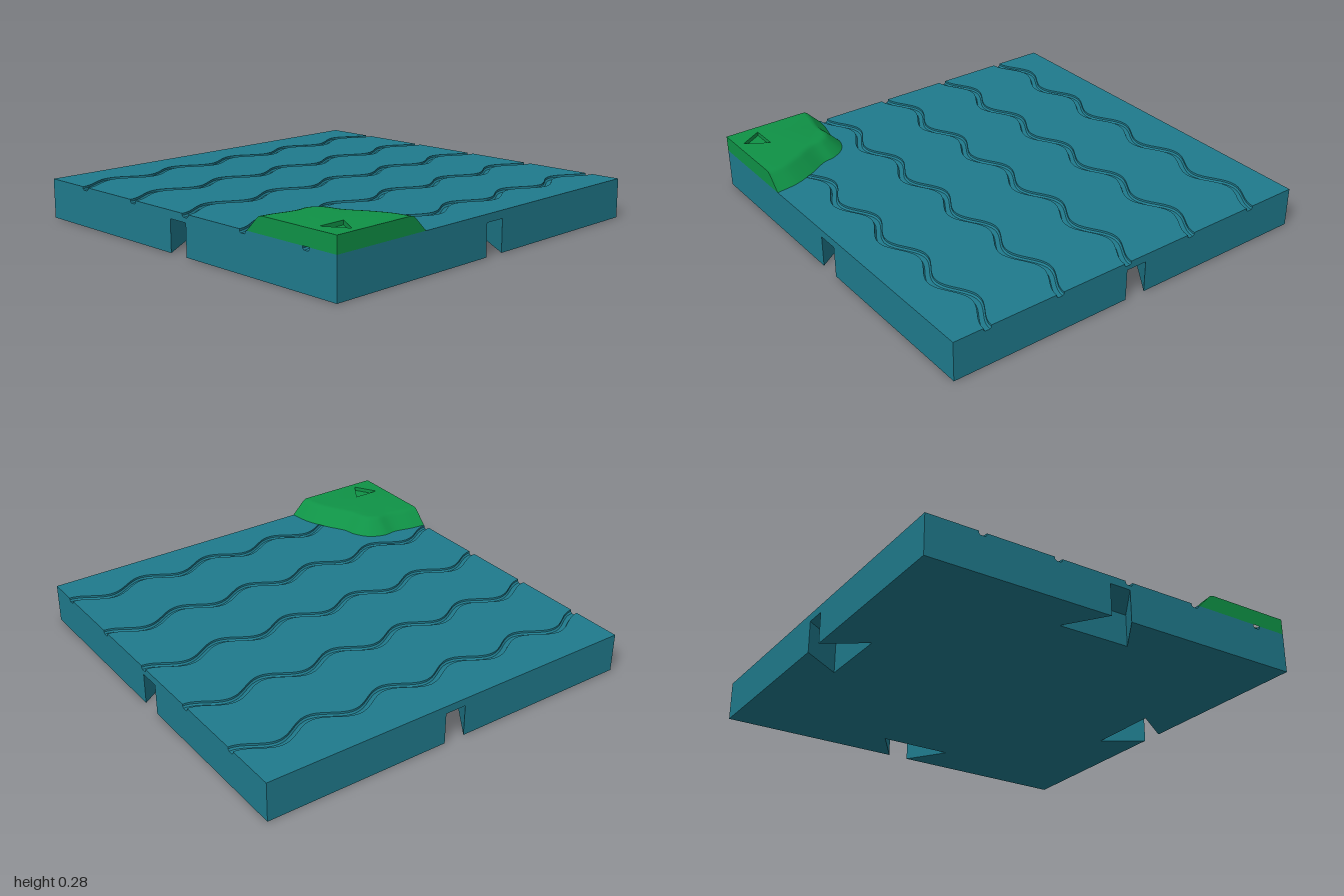
import * as THREE from 'three';
import { mergeGeometries, toCreasedNormals } from 'three/addons/utils/BufferGeometryUtils.js';

const TOP = 0.2, NOTCH_TOP = 0.16, HILL_TOP = 0.28;

// Keep positions only so any geometries can be merged
function bare(geometry) {
  const g = geometry.index ? geometry.toNonIndexed() : geometry;
  const out = new THREE.BufferGeometry();
  out.setAttribute('position', g.getAttribute('position'));
  return out;
}

function makeMesh(name, parts, color, crease = 0.5) {
  const geometry = toCreasedNormals(mergeGeometries(parts.map(bare)), crease);
  const mesh = new THREE.Mesh(geometry, new THREE.MeshStandardMaterial({ color }));
  mesh.name = name;
  return mesh;
}

// Skin between closed loops of [x, z] at given heights
function loft(rings) {
  const pos = [];
  for (let r = 0; r < rings.length - 1; r++) {
    const lo = rings[r], hi = rings[r + 1], n = lo.loop.length;
    for (let i = 0; i < n; i++) {
      const j = (i + 1) % n;
      const P = (ring, k) => [ring.loop[k][0], ring.y, ring.loop[k][1]];
      const a = P(lo, i), b = P(lo, j), c = P(hi, j), d = P(hi, i);
      pos.push(...a, ...d, ...c, ...a, ...c, ...b);
    }
  }
  const g = new THREE.BufferGeometry();
  g.setAttribute('position', new THREE.Float32BufferAttribute(pos, 3));
  return g;
}

const toVectors = (loop) => loop.map(([x, z]) => new THREE.Vector2(x, -z));

// Flat upward face from a loop of [x, z]
function cap(loop, y, hole) {
  const shape = new THREE.Shape(toVectors(loop));
  if (hole) shape.holes.push(new THREE.Path(toVectors(hole)));
  return new THREE.ShapeGeometry(shape).rotateX(-Math.PI / 2).translate(0, y, 0);
}

// Lower part of the tile: a dovetail notch in the middle of each side
function baseGeometry() {
  const side = [[-1, -1], [-0.055, -1], [-0.19, -0.8], [0.19, -0.8], [0.055, -1]];
  const points = [];
  for (let k = 0; k < 4; k++) {
    for (const [x, y] of side) {
      points.push(new THREE.Vector2(x, y).rotateAround(new THREE.Vector2(), k * Math.PI / 2));
    }
  }
  return new THREE.ExtrudeGeometry(new THREE.Shape(points), { depth: NOTCH_TOP, bevelEnabled: false })
    .rotateX(-Math.PI / 2);
}

// Upper part of the tile: straight grooved section, bent into waves
function slabGeometry() {
  const groove = [[-0.02, 0], [-0.02, -0.01], [-0.012, -0.017], [0.012, -0.017], [0.02, -0.01], [0.02, 0]];
  const section = [[-1, TOP], [-1, NOTCH_TOP], [1, NOTCH_TOP], [1, TOP]];
  for (let i = 0; i < 5; i++) {
    const centre = 0.762 - i * 0.387;
    for (const [u, v] of [...groove].reverse()) section.push([centre + u, TOP + v]);
  }
  const shape = new THREE.Shape(section.map(([u, v]) => new THREE.Vector2(u, v)));
  const g = new THREE.ExtrudeGeometry(shape, { depth: 2, steps: 120, bevelEnabled: false })
    .rotateY(Math.PI / 2).translate(-1, 0, 0);
  const p = g.getAttribute('position');
  for (let i = 0; i < p.count; i++) {
    const z = p.getZ(i);
    if (Math.abs(z) < 0.99) p.setZ(i, z - 0.04 * Math.cos(p.getX(i) * Math.PI * 5));
  }
  return g;
}

// Raised bank in the corner: sloped rim, flat top, sunken arrow
function bankParts() {
  const outline = new THREE.CatmullRomCurve3([
    [-1, 0.465], [-0.92, 0.475], [-0.82, 0.497], [-0.74, 0.493], [-0.66, 0.53], [-0.612, 0.6],
    [-0.595, 0.67], [-0.54, 0.765], [-0.49, 0.88], [-0.47, 1],
  ].map(([x, z]) => new THREE.Vector3(x, 0, z)));
  const N = 64;
  const ring = (inset, y) => {
    const loop = [];
    for (let i = 0; i <= N; i++) {
      const t = i / N, p = outline.getPointAt(t);
      const d = outline.getPointAt(Math.min(1, t + 0.07))
        .sub(outline.getPointAt(Math.max(0, t - 0.07))).normalize();
      loop.push([i === 0 ? -1 : Math.max(-1, p.x - d.z * inset), i === N ? 1 : Math.min(1, p.z + d.x * inset)]);
    }
    loop.push([-1, 1]);
    return { loop, y };
  };
  const rings = [[0, TOP], [0.06, 0.26], [0.069, 0.269], [0.08, 0.277], [0.095, HILL_TOP]]
    .map(([inset, y]) => ring(inset, y));
  const arrow = [[-0.95, 0.85], [-0.81, 0.85], [-0.88, 0.965]];
  const floor = HILL_TOP - 0.02;
  return [
    loft(rings),
    cap(rings[rings.length - 1].loop, HILL_TOP, arrow),
    loft([{ loop: arrow, y: HILL_TOP }, { loop: arrow, y: floor }]),
    cap(arrow, floor),
  ];
}

export function createModel() {
  const model = new THREE.Group();
  model.name = 'waterTile';
  model.add(
    makeMesh('notchedBase', [baseGeometry()], 0x1f7a8c),
    makeMesh('wavySurface', [slabGeometry()], 0x1f7a8c),
    makeMesh('grassBank', bankParts(), 0x0f9246, 0.7),
  );
  return model;
}
